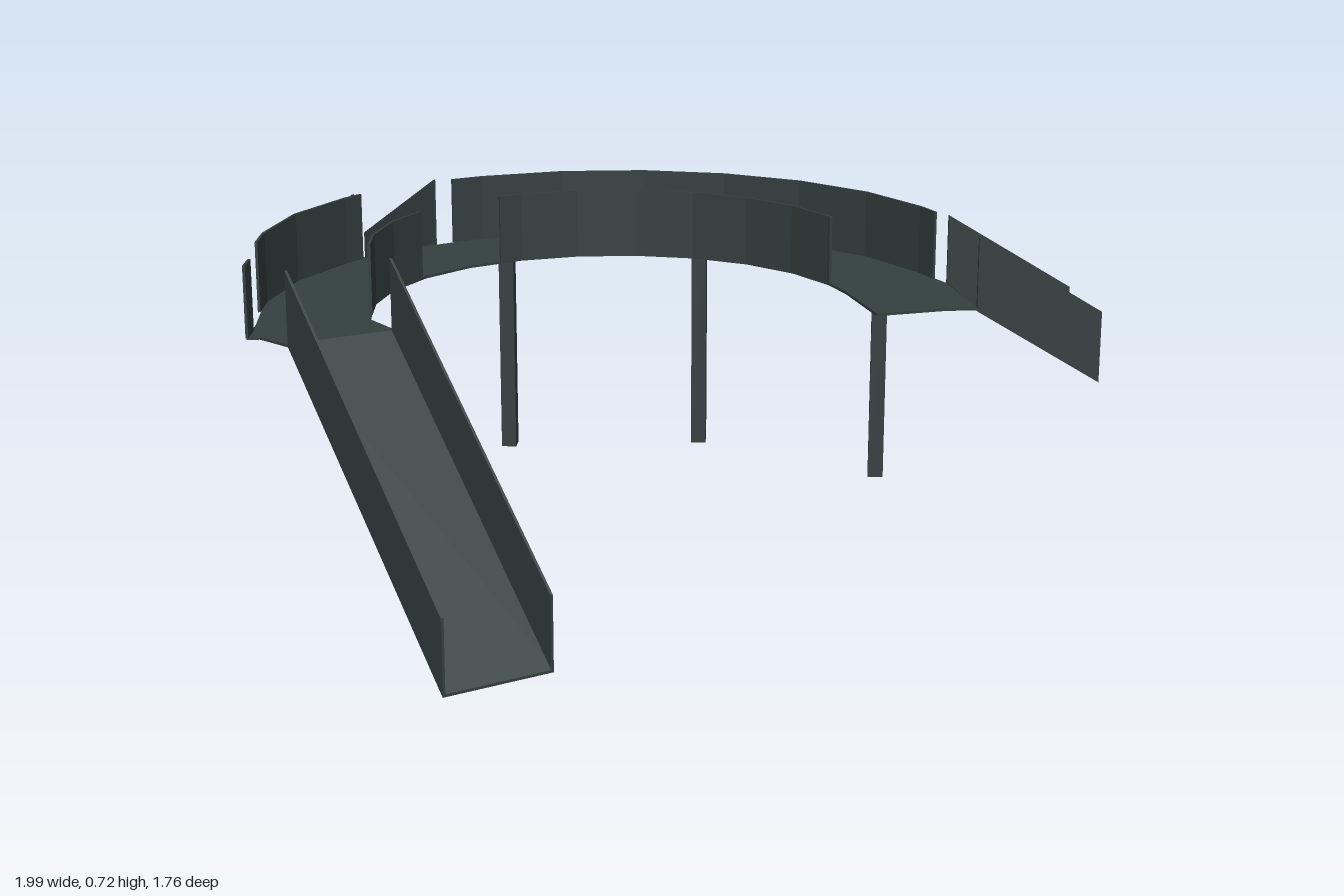
import * as THREE from 'three';

const slate = new THREE.MeshStandardMaterial({ color: 0x344040, side: THREE.DoubleSide });
slate.name = 'darkSlate';

const DECK = 0.56, WALL = 0.16, THIN = 0.006;
const CX = -0.1, CZ = -0.05, R_OUT = 0.8, R_IN = 0.55;

// Extrudes a plan outline of [x, z] points upward from height y
function prism(name, points, y, height) {
  const shape = new THREE.Shape(points.map(([x, z]) => new THREE.Vector2(x, -z)));
  const geo = new THREE.ExtrudeGeometry(shape, { depth: height, bevelEnabled: false });
  geo.rotateX(-Math.PI / 2).translate(0, y, 0);
  const mesh = new THREE.Mesh(geo, slate);
  mesh.name = name;
  return mesh;
}

// Points on the ring, faceted every 15 degrees, from angle a to angle b
function arc(r, a, b) {
  const angles = [a];
  for (let d = Math.floor(a / 15) * 15 + 15; d < b; d += 15) angles.push(d);
  angles.push(b);
  return angles.map((d) => {
    const t = THREE.MathUtils.degToRad(d);
    return [CX + r * Math.cos(t), CZ - r * Math.sin(t)];
  });
}

function arcWall(name, r, a, b) {
  return prism(name, [...arc(r, a, b), ...arc(r - THIN, a, b).reverse()], DECK, WALL);
}

// Thin strip between two plan points, widened toward a third one
function strip(p, q, toward) {
  const l = Math.hypot(toward[0] - p[0], toward[1] - p[1]);
  const ox = ((toward[0] - p[0]) / l) * THIN, oz = ((toward[1] - p[1]) / l) * THIN;
  return [p, q, [q[0] + ox, q[1] + oz], [p[0] + ox, p[1] + oz]];
}

// Ramp with two upright side walls, sheared down along its length
function ramp(name, a, b, aEnd, bEnd, endY) {
  const group = new THREE.Group();
  group.name = name;
  group.add(
    prism('rampFloor', [a, aEnd, bEnd, b], DECK - THIN, THIN),
    prism('rampWall', strip(a, aEnd, b), DECK, WALL),
    prism('rampWall', strip(b, bEnd, a), DECK, WALL),
  );
  const dx = (aEnd[0] + bEnd[0] - a[0] - b[0]) / 2;
  const dz = (aEnd[1] + bEnd[1] - a[1] - b[1]) / 2;
  const mx = (a[0] + b[0]) / 2, mz = (a[1] + b[1]) / 2;
  for (const mesh of group.children) {
    const pos = mesh.geometry.attributes.position;
    for (let i = 0; i < pos.count; i++) {
      const t = ((pos.getX(i) - mx) * dx + (pos.getZ(i) - mz) * dz) / (dx * dx + dz * dz);
      pos.setY(i, pos.getY(i) - t * (DECK - endY));
    }
    mesh.geometry.computeVertexNormals();
  }
  return group;
}

export function createModel() {
  const model = new THREE.Group();
  model.name = 'curvedWalkway';

  // Curved deck with landings at both ends
  model.add(prism('deck', [
    ...arc(R_OUT, 25, 195),
    [-0.868, 0.265], [-0.84, 0.26], [-0.767, 0.318], [-0.564, 0.174],
    ...arc(R_IN, 20, 195).reverse(),
    [0.484, -0.04], [0.64, -0.1], [0.71, -0.11], [0.65, -0.345],
  ], DECK - THIN, THIN));

  // Parapets, with openings at the ramps
  model.add(
    arcWall('outerWall', R_OUT, 25, 126),
    arcWall('outerWall', R_OUT, 146, 187),
    arcWall('innerWall', R_IN, 29, 126),
    arcWall('innerWall', R_IN, 152, 191),
    prism('endWall', strip([-0.871, 0.21], [-0.868, 0.275], [-0.8, 0.21]), DECK, WALL),
  );

  // Long ramp to the ground and two short ramps
  model.add(
    ramp('longRamp', [-0.767, 0.318], [-0.564, 0.174], [-0.36, 0.878], [-0.158, 0.732], 0.008),
    ramp('backRamp', [-0.607, -0.677], [-0.783, -0.5], [-0.826, -0.882], [-0.998, -0.7], 0.38),
    ramp('sideRamp', [0.65, -0.347], [0.71, -0.11], [0.942, -0.415], [0.995, -0.17], 0.38),
  );

  // Support posts
  for (const [x, z] of [[0.5, -0.56], [0.045, -0.815], [-0.44, -0.747]]) {
    const post = new THREE.Mesh(new THREE.BoxGeometry(0.037, 0.522, 0.047), slate);
    post.name = 'supportPost';
    post.position.set(x, 0.277, z);
    model.add(post);
  }
  return model;
}
